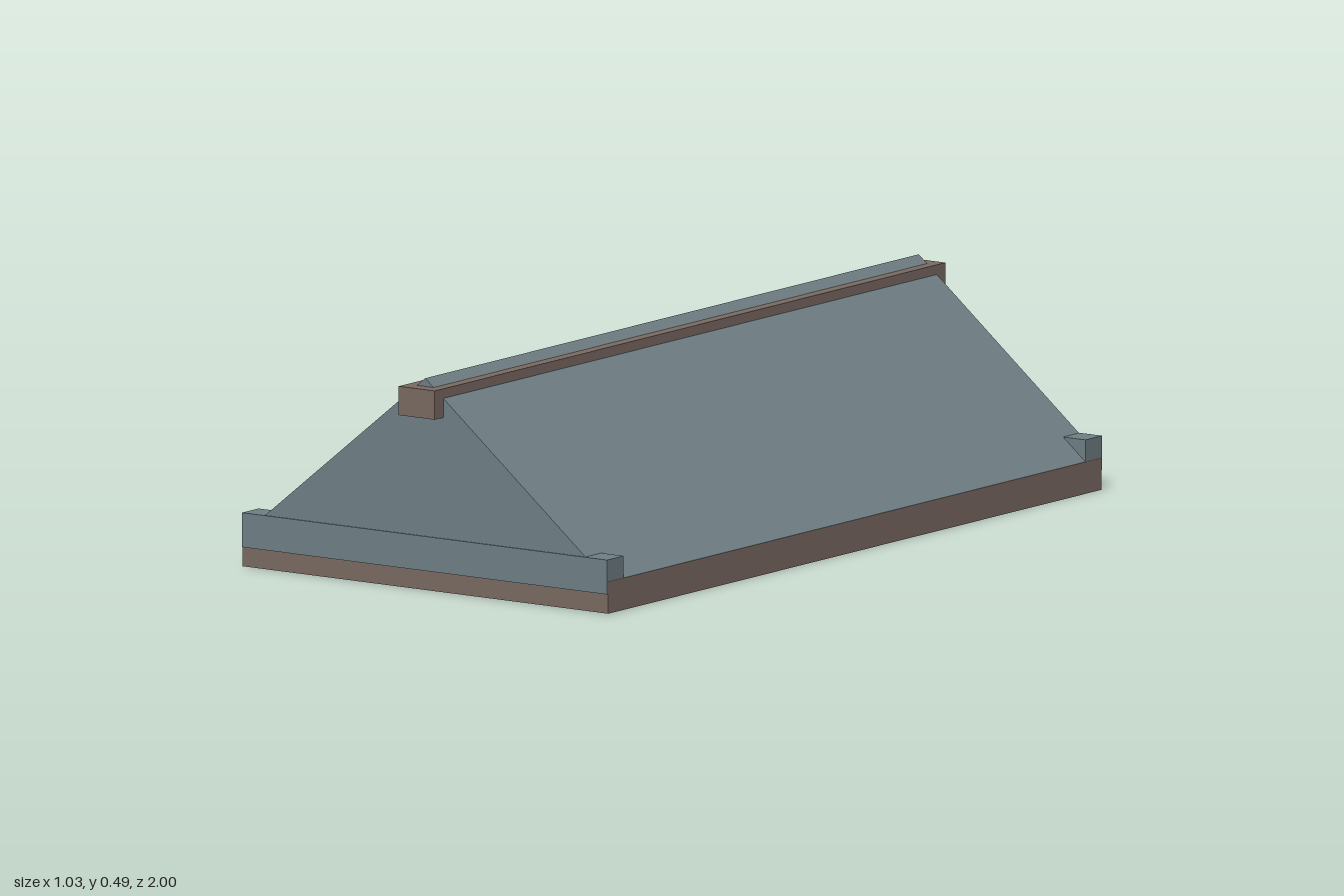
import * as THREE from 'three';

const slate = new THREE.MeshStandardMaterial({ color: 0x6f7f85, flatShading: true });
const timber = new THREE.MeshStandardMaterial({ color: 0x7a6a62, flatShading: true });

export function createModel() {
  const roof = new THREE.Group();
  roof.name = 'gableRoof';

  const add = (name, geometry, material, y = 0, z = 0) => {
    const mesh = new THREE.Mesh(geometry, material);
    mesh.name = name;
    mesh.position.set(0, y, z);
    roof.add(mesh);
  };

  // Timber slab under the eaves
  add('baseSlab', new THREE.BoxGeometry(1.03, 0.074, 1.932), timber, 0.037);

  // Roof prism: two slopes and both gables
  const gable = new THREE.Shape([
    new THREE.Vector2(-0.515, 0.073),
    new THREE.Vector2(0.515, 0.073),
    new THREE.Vector2(0, 0.492),
  ]);
  const prism = new THREE.ExtrudeGeometry(gable, { depth: 1.932, bevelEnabled: false });
  prism.translate(0, 0, -0.966);
  add('roofSlopes', prism, slate);

  // End beams, whose tips show as square blocks at the four corners
  for (const s of [1, -1]) {
    add(s > 0 ? 'frontEndBeam' : 'backEndBeam',
      new THREE.BoxGeometry(1.028, 0.08, 0.065), slate, 0.085, s * 0.9365);
  }

  // Ridge beam, with the roof peak breaking through its top
  add('ridgeBeam', new THREE.BoxGeometry(0.102, 0.067, 2), timber, 0.4395);

  return roof;
}
